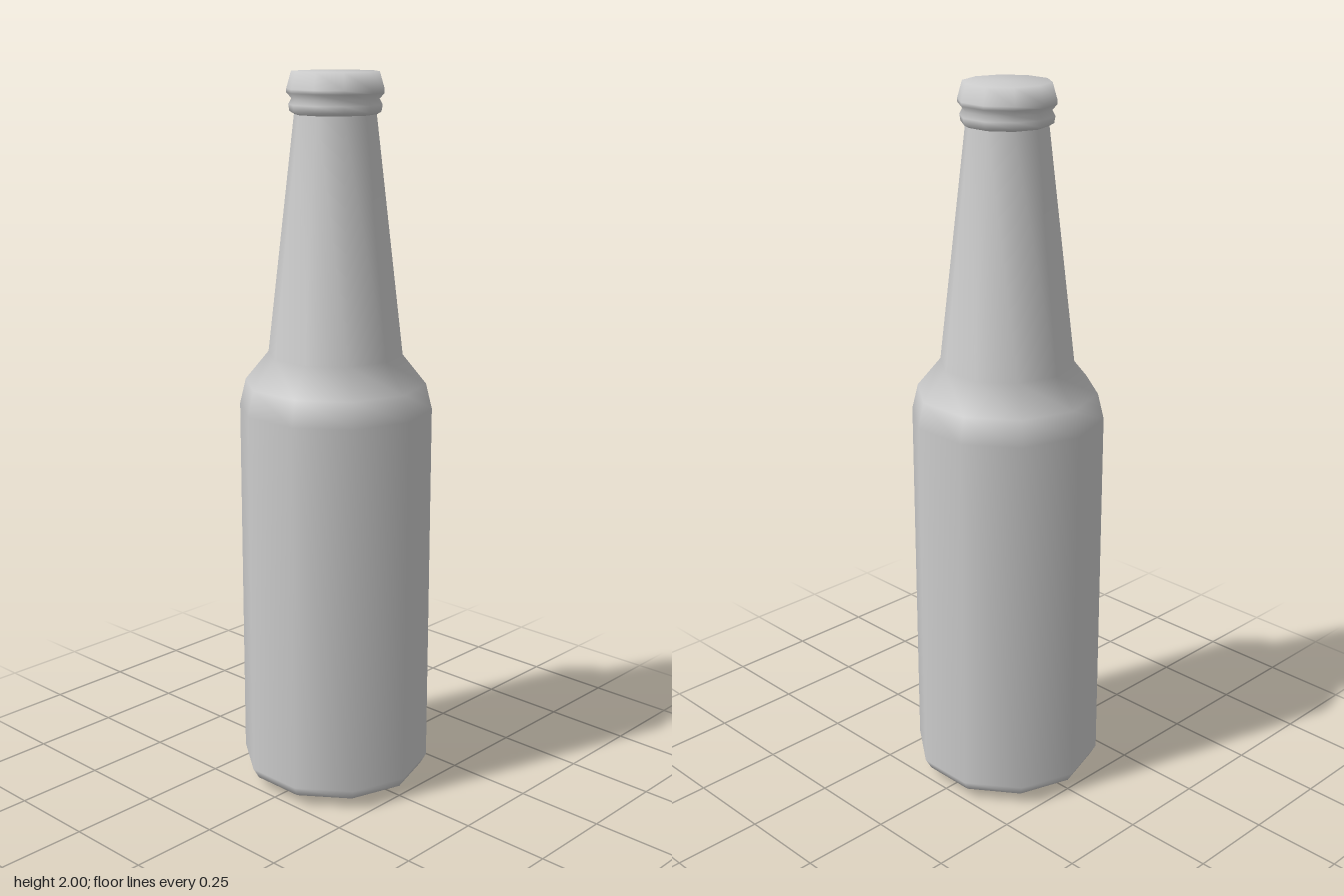
import * as THREE from 'three';

const SIDES = 10;

// Smooth ten-sided turned part; profile is [radius, height] from bottom to top
function turned(name, profile, material) {
  const points = profile.map(([r, y]) => new THREE.Vector2(r, y));
  const mesh = new THREE.Mesh(new THREE.LatheGeometry(points, SIDES), material);
  mesh.name = name;
  return mesh;
}

export function createModel() {
  const group = new THREE.Group();
  group.name = 'bottle';
  const glass = new THREE.MeshStandardMaterial({ color: 0xcccccc, side: THREE.DoubleSide });

  // Base, straight wall, shoulder and tapering neck
  group.add(turned('body', [
    [0, 0], [0.2, 0.005], [0.25, 0.03], [0.267, 0.06],
    [0.267, 1.1], [0.25, 1.17], [0.185, 1.25], [0.11, 1.89],
  ], glass));

  // Collar ring and closed, slightly tapered lip
  group.add(turned('lip', [
    [0.11, 1.89], [0.122, 1.897], [0.125, 1.915], [0.117, 1.93],
    [0.13, 1.945], [0.13, 1.955], [0.117, 2], [0, 2],
  ], glass));

  return group;
}
